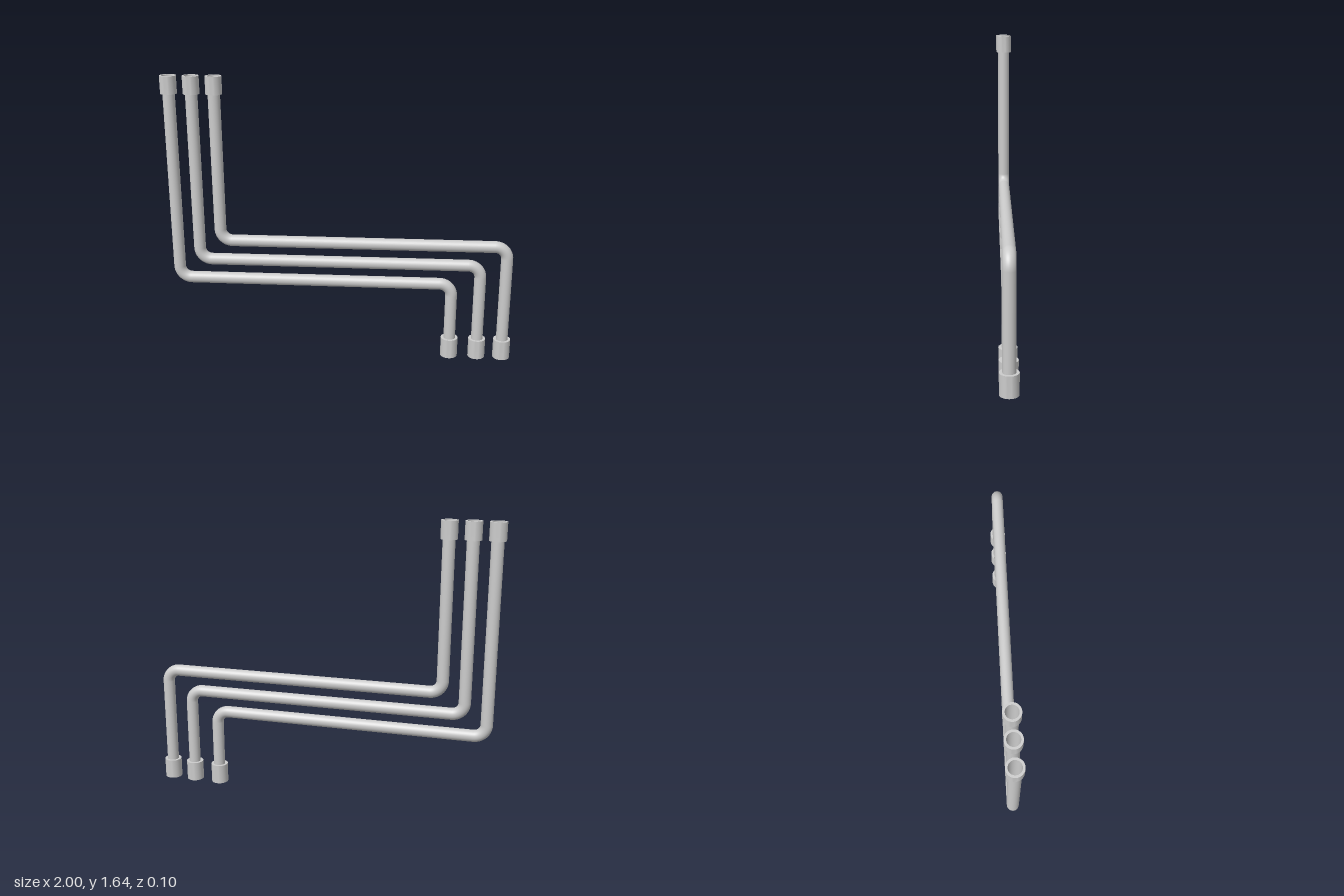
import * as THREE from 'three';
import { toCreasedNormals } from 'three/addons/utils/BufferGeometryUtils.js';

const PIPE_R = 0.034;  // pipe radius
const BEND_R = 0.07;   // elbow centreline radius
const TOP = 1.645;
const SIDES = 32;

const material = new THREE.MeshStandardMaterial({ color: 0xcccccc });
const openMaterial = new THREE.MeshStandardMaterial({ color: 0xcccccc, side: THREE.DoubleSide });

function addMesh(parent, name, geometry, mat, x, y, rotZ = 0) {
  const mesh = new THREE.Mesh(geometry, mat);
  mesh.name = name;
  mesh.position.set(x, y, 0);
  mesh.rotation.z = rotZ;
  parent.add(mesh);
}

// Open-ended straight pipe of the given length
const straight = (length) => new THREE.CylinderGeometry(PIPE_R, PIPE_R, length, SIDES, 1, true);

// Quarter-turn elbow
const elbow = () => new THREE.TorusGeometry(BEND_R, PIPE_R, SIDES, 14, Math.PI / 2);

// Sleeve around a pipe end; the pipe itself forms the bore
function collar(radius, height) {
  const profile = [[PIPE_R, 0], [radius, 0], [radius, height], [PIPE_R, height]]
    .map(([r, y]) => new THREE.Vector2(r, y));
  return toCreasedNormals(new THREE.LatheGeometry(profile, SIDES), 0.7);
}

// One Z-shaped pipe: down at xTop, across at yRun, down at xBottom
function createPipe(xTop, xBottom, yRun) {
  const pipe = new THREE.Group();
  const upperStart = yRun + BEND_R;
  const lowerEnd = yRun - BEND_R;
  const runLength = xBottom - xTop - 2 * BEND_R;

  addMesh(pipe, 'upperRiser', straight(TOP - upperStart), openMaterial, xTop, (TOP + upperStart) / 2);
  addMesh(pipe, 'lowerElbow', elbow(), openMaterial, xTop + BEND_R, upperStart, Math.PI);
  addMesh(pipe, 'horizontalRun', straight(runLength), openMaterial, (xTop + xBottom) / 2, yRun, Math.PI / 2);
  addMesh(pipe, 'upperElbow', elbow(), openMaterial, xBottom - BEND_R, lowerEnd);
  addMesh(pipe, 'lowerRiser', straight(lowerEnd), openMaterial, xBottom, lowerEnd / 2);

  addMesh(pipe, 'topCollar', collar(0.046, 0.1), material, xTop, TOP - 0.1);
  addMesh(pipe, 'bottomCollar', collar(0.05, 0.115), material, xBottom, 0);
  return pipe;
}

export function createModel() {
  const model = new THREE.Group();
  model.name = 'pipes';
  const layout = [
    ['lowerPipe', -0.954, 0.64, 0.456],
    ['middlePipe', -0.828, 0.802, 0.574],
    ['upperPipe', -0.702, 0.948, 0.692],
  ];
  for (const [name, xTop, xBottom, yRun] of layout) {
    const pipe = createPipe(xTop, xBottom, yRun);
    pipe.name = name;
    model.add(pipe);
  }
  return model;
}
